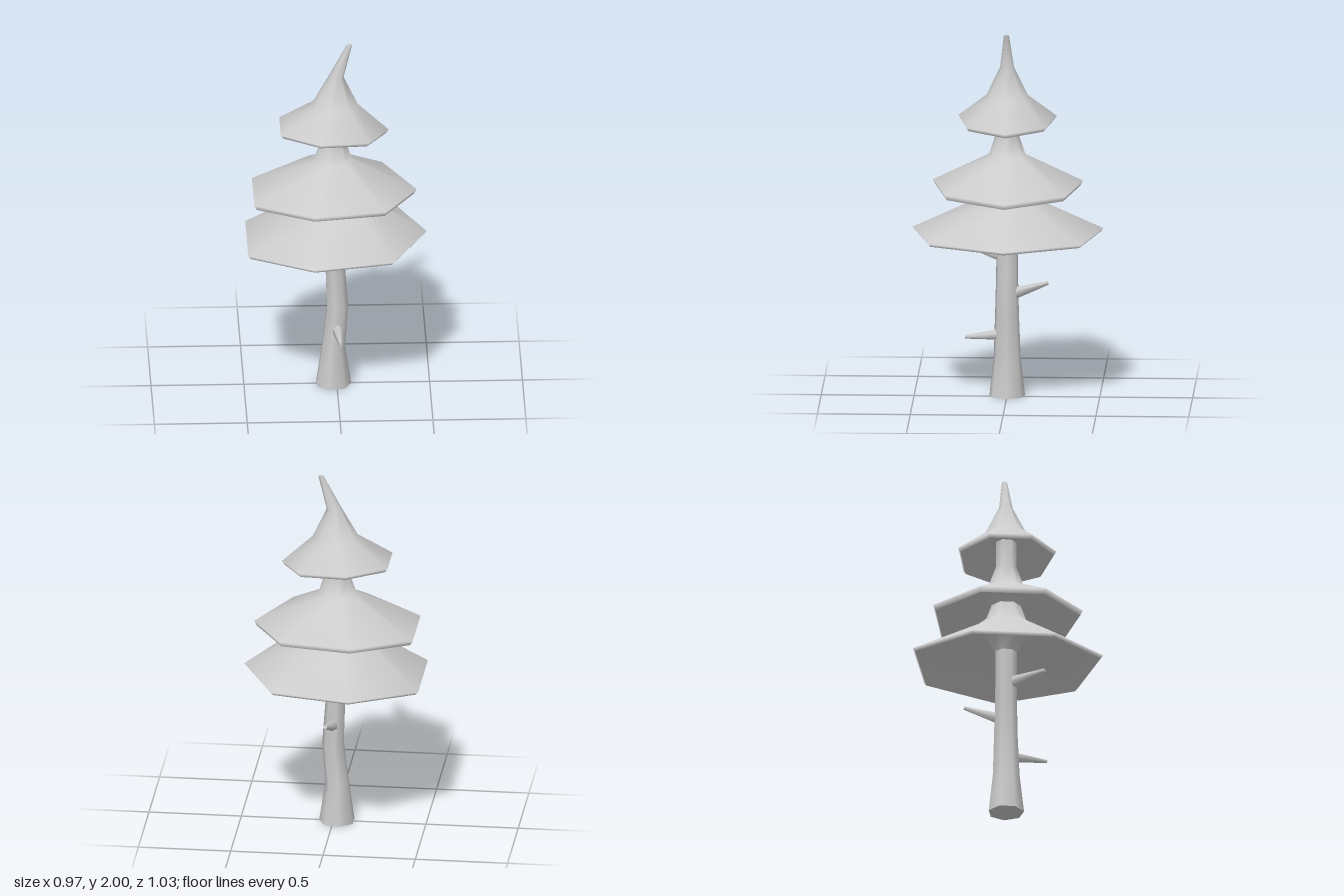
import * as THREE from 'three';

const SIDES = 7;
const material = new THREE.MeshStandardMaterial({ color: 0xcccccc });

// One seven-sided ring; dy holds height offsets from its +x corner round to its -x side.
const ring = (x, y, rx, rz = rx, dy = [0, 0, 0, 0], z = 0) => ({ x, y, z, rx, rz, dy });

// Skins a list of rings, smooth across the faces, with an optional flat end cap.
function loft(rings, cap = '') {
  const pos = [], index = [];
  const addRing = (r) => {
    for (let i = 0; i < SIDES; i++) {
      const a = (i / SIDES) * Math.PI * 2;
      pos.push(r.x + r.rx * Math.cos(a), r.y + r.dy[Math.min(i, SIDES - i)], r.z + r.rz * Math.sin(a));
    }
  };
  rings.forEach(addRing);
  for (let k = 0; k < rings.length - 1; k++) {
    for (let i = 0; i < SIDES; i++) {
      const a = k * SIDES + i, b = k * SIDES + ((i + 1) % SIDES);
      index.push(a, a + SIDES, b, b, a + SIDES, b + SIDES);
    }
  }
  if (cap) {
    const start = pos.length / 3;
    addRing(cap === 'top' ? rings[rings.length - 1] : rings[0]);
    for (let i = 1; i < SIDES - 1; i++) {
      if (cap === 'top') index.push(start, start + i + 1, start + i);
      else index.push(start, start + i, start + i + 1);
    }
  }
  const geo = new THREE.BufferGeometry();
  geo.setAttribute('position', new THREE.Float32BufferAttribute(pos, 3));
  geo.setIndex(index);
  geo.computeVertexNormals();
  return geo;
}

function addMesh(parent, name, geo) {
  const mesh = new THREE.Mesh(geo, material);
  mesh.name = name;
  parent.add(mesh);
  return mesh;
}

// A foliage skirt: upper surface with a thin rim, and a separate hollow underside.
function foliage(name, { rim, lip, upper, under, cap }) {
  const group = new THREE.Group();
  group.name = name;
  const lower = { ...rim, y: rim.y - lip, rx: rim.rx - 0.015, rz: rim.rz - 0.015 };
  addMesh(group, name + 'Top', loft([lower, rim, ...upper], cap));
  addMesh(group, name + 'Underside', loft([...under, lower]));
  return group;
}

// A tapered stub from the trunk to its tip.
function branch(parent, name, from, to, rBase, rTip) {
  const a = new THREE.Vector3(...from), b = new THREE.Vector3(...to);
  const dir = b.clone().sub(a);
  const mesh = addMesh(parent, name, new THREE.CylinderGeometry(rTip, rBase, dir.length(), 6));
  mesh.position.copy(a).add(b).multiplyScalar(0.5);
  mesh.quaternion.setFromUnitVectors(new THREE.Vector3(0, 1, 0), dir.normalize());
}

export function createModel() {
  const tree = new THREE.Group();
  tree.name = 'pineTree';

  // Crooked trunk, flared at the foot
  addMesh(tree, 'trunk', loft([
    ring(-0.02, 0, 0.098),
    ring(-0.02, 0.22, 0.065, 0.074),
    ring(0.002, 0.45, 0.06, 0.066),
    ring(-0.01, 0.68, 0.055, 0.06),
    ring(-0.02, 0.88, 0.054, 0.06),
    ring(-0.02, 1.1, 0.054, 0.058),
  ], 'bottom'));

  // Broken branches
  branch(tree, 'leftoverBranchHigh', [-0.03, 0.768, 0.03], [-0.168, 0.785, 0.195], 0.034, 0.011);
  branch(tree, 'leftoverBranchBack', [0, 0.565, -0.03], [0.02, 0.63, -0.222], 0.034, 0.011);
  branch(tree, 'leftoverBranchFront', [0, 0.342, 0.03], [0.013, 0.328, 0.225], 0.032, 0.01);

  // Three skirts of foliage, widest at the bottom
  tree.add(foliage('lowerFoliage', {
    rim: ring(-0.025, 0.89, 0.51, 0.528, [0, 0.005, 0.01, -0.03]),
    lip: 0.017,
    upper: [ring(-0.01, 1.06, 0.225, 0.2), ring(-0.015, 1.14, 0.11), ring(-0.02, 1.25, 0.07)],
    under: [ring(-0.02, 0.95, 0.055, 0.06), ring(-0.015, 1.065, 0.13)],
  }));

  tree.add(foliage('middleFoliage', {
    rim: ring(-0.033, 1.14, 0.463, 0.415, [0, 0.015, 0.022, -0.002]),
    lip: 0.028,
    upper: [ring(-0.022, 1.325, 0.104, 0.1), ring(-0.02, 1.45, 0.062, 0.058), ring(-0.02, 1.6, 0.056)],
    under: [ring(-0.02, 1.2, 0.06), ring(-0.02, 1.265, 0.12)],
  }));

  // Crown ending in a bent tip
  tree.add(foliage('upperFoliage', {
    rim: ring(-0.028, 1.495, 0.308, 0.272, [0, 0.015, 0.03, 0.028]),
    lip: 0.021,
    upper: [
      ring(-0.012, 1.65, 0.125, 0.115),
      ring(-0.005, 1.81, 0.042, 0.038),
      ring(0.069, 2, 0.014),
    ],
    under: [ring(-0.02, 1.6, 0.05), ring(-0.02, 1.595, 0.09)],
    cap: 'top',
  }));

  return tree;
}
